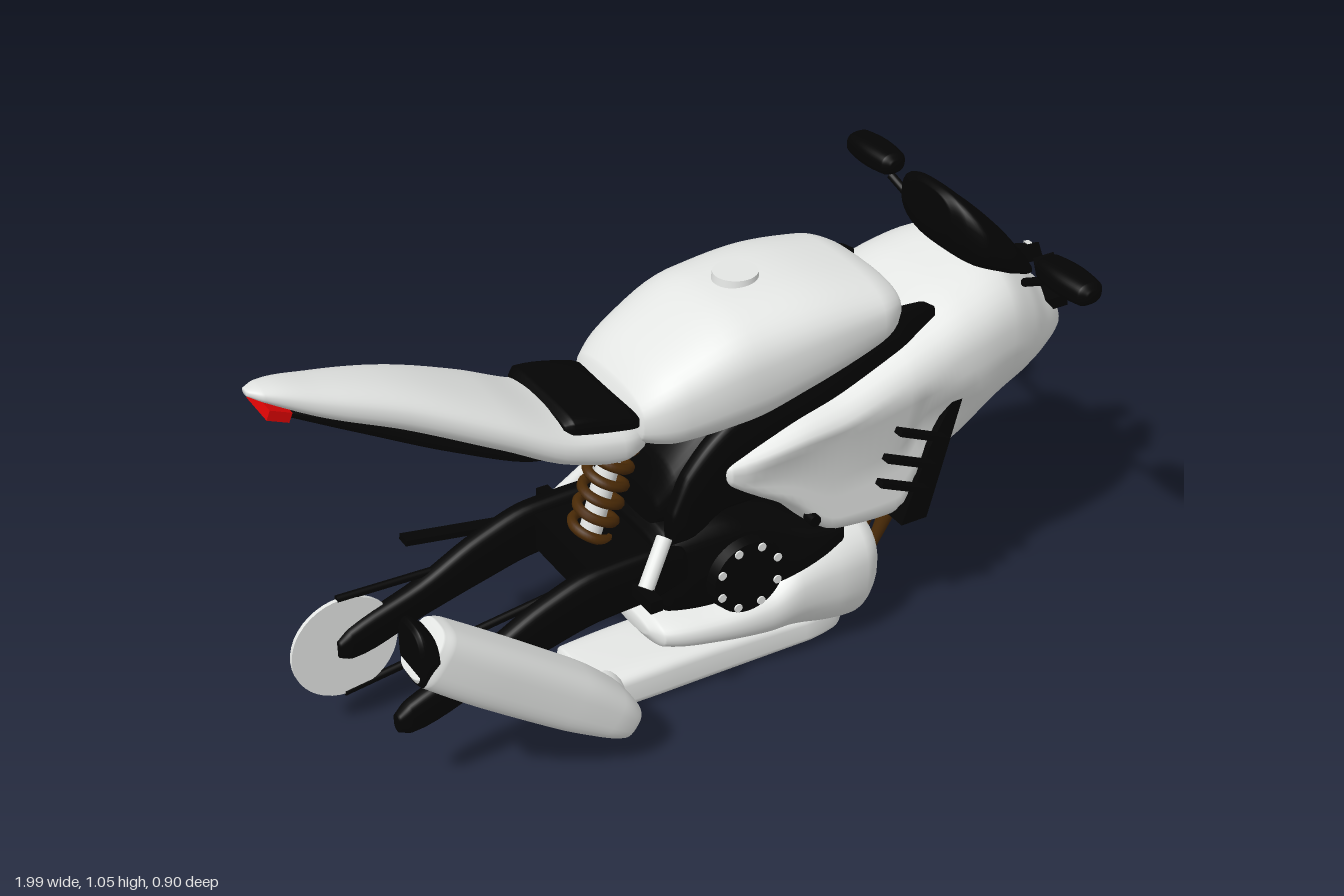
import * as THREE from 'three';

const mat = (name, color) => {
  const m = new THREE.MeshStandardMaterial({ color });
  m.name = name;
  return m;
};

// Smooth limited-slope interpolation of the stations along x
function sampleStations(st, per = 6) {
  const n = st.length, w = st[0].length;
  const sec = (i, c) => (st[i + 1][c] - st[i][c]) / (st[i + 1][0] - st[i][0]);
  const slope = (i, c) => {
    if (i === 0) return sec(0, c);
    if (i === n - 1) return sec(n - 2, c);
    const a = sec(i - 1, c), b = sec(i, c);
    return a * b <= 0 ? 0 : (2 * a * b) / (a + b);
  };
  const rows = [];
  for (let i = 0; i < n - 1; i++) {
    const h = st[i + 1][0] - st[i][0];
    for (let s = 0; s < per; s++) {
      const t = s / per, t2 = t * t, t3 = t2 * t, row = [st[i][0] + t * h];
      for (let c = 1; c < w; c++) {
        row.push((2 * t3 - 3 * t2 + 1) * st[i][c] + (t3 - 2 * t2 + t) * h * slope(i, c)
          + (3 * t2 - 2 * t3) * st[i + 1][c] + (t3 - t2) * h * slope(i + 1, c));
      }
      rows.push(row);
    }
  }
  rows.push(st[n - 1]);
  return rows;
}

// Skin superellipse sections:
// [x, low y, high y, half width, lower exponent, height share of widest point, upper exponent]
function loftGeometry(stations, e = 2.3, k = 0.5, N = 40) {
  const rows = sampleStations(stations.map(s => [s[0], s[1], s[2], s[3], s[4] ?? e, s[5] ?? k, s[6] ?? s[4] ?? e]));
  const pos = [], idx = [];
  const pw = (v, p) => Math.sign(v) * Math.pow(Math.abs(v), p);
  for (const [x, lo, hi, w, el, kk, eu] of rows) {
    const yc = lo + kk * (hi - lo);
    for (let j = 0; j < N; j++) {
      const t = (j / N) * Math.PI * 2, ex = Math.sin(t) > 0 ? eu : el, s = pw(Math.sin(t), 2 / ex);
      pos.push(x, yc + s * (s > 0 ? hi - yc : yc - lo), w * pw(Math.cos(t), 2 / ex));
    }
  }
  const R = rows.length;
  for (let i = 0; i < R - 1; i++) for (let j = 0; j < N; j++) {
    const a = i * N + j, b = i * N + (j + 1) % N;
    idx.push(a, a + N, b, b, a + N, b + N);
  }
  for (const i of [0, R - 1]) {
    const c = pos.length / 3, r = rows[i];
    pos.push(r[0], (r[1] + r[2]) / 2, 0);
    for (let j = 0; j < N; j++) {
      const a = i * N + j, b = i * N + (j + 1) % N;
      if (i === 0) idx.push(c, a, b); else idx.push(c, b, a);
    }
  }
  const g = new THREE.BufferGeometry();
  g.setAttribute('position', new THREE.Float32BufferAttribute(pos, 3));
  g.setIndex(idx);
  g.computeVertexNormals();
  return g;
}

export function createModel() {
  const root = new THREE.Group();
  root.name = 'motorcycleBody';
  const white = mat('white paint', 0xe4e6e4), black = mat('black trim', 0x040404);
  const bronze = mat('bronze metal', 0x4a2a06), red = mat('tail light red', 0xd80404);

  const add = (name, geo, m, p = [0, 0, 0], r = [0, 0, 0]) => {
    const mesh = new THREE.Mesh(geo, m);
    mesh.name = name;
    mesh.position.set(...p);
    mesh.rotation.set(...r);
    root.add(mesh);
    return mesh;
  };
  const loft = (name, m, st, e, k) => add(name, loftGeometry(st, e, k), m);
  const box = (name, m, size, p, r) => add(name, new THREE.BoxGeometry(...size), m, p, r);
  const disc = (name, m, r0, r1, h, p) => add(name, new THREE.CylinderGeometry(r0, r1, h, 40), m, p, [Math.PI / 2, 0, 0]);
  const rod = (name, m, a, b, ra, rb = ra) => {
    const A = new THREE.Vector3(...a), B = new THREE.Vector3(...b), d = B.clone().sub(A);
    const mesh = add(name, new THREE.CylinderGeometry(rb, ra, d.length(), 18), m);
    mesh.position.copy(A).add(B).multiplyScalar(0.5);
    mesh.quaternion.setFromUnitVectors(new THREE.Vector3(0, 1, 0), d.normalize());
  };
  const shape = pts => new THREE.Shape(pts.map(p => new THREE.Vector2(...p)));

  // Bodywork
  loft('fuelTank', white, [
    [-0.21, 0.71, 0.78, 0.1], [-0.19, 0.69, 0.82, 0.15], [-0.1, 0.665, 0.89, 0.19], [0.05, 0.67, 0.955, 0.213],
    [0.2, 0.71, 0.966, 0.216], [0.38, 0.77, 0.945, 0.2], [0.44, 0.8, 0.92, 0.17], [0.47, 0.84, 0.88, 0.09]], 2.7);
  add('fillerCap', new THREE.CylinderGeometry(0.05, 0.053, 0.025, 32), white, [0.12, 0.962, 0]);
  const fairing = loft('frontFairing', white, [
    [-0.03, 0.58, 0.62, 0.17, 3, 0.6], [0, 0.54, 0.64, 0.2, 3, 0.6], [0.15, 0.44, 0.695, 0.23, 3.4, 0.65],
    [0.28, 0.33, 0.74, 0.24, 4, 0.7, 3], [0.43, 0.315, 0.8, 0.243, 4, 0.72, 3], [0.5, 0.335, 0.83, 0.243, 2.2, 0.7, 2.9],
    [0.6, 0.38, 0.87, 0.24, 1.8, 0.66, 2.8], [0.72, 0.465, 0.895, 0.222, 1.8, 0.6, 2.6],
    [0.8, 0.52, 0.86, 0.195, 1.9, 0.54, 2.3], [0.88, 0.565, 0.79, 0.145, 2, 0.48], [0.95, 0.598, 0.72, 0.09, 2.1, 0.45],
    [0.98, 0.61, 0.67, 0.055, 2.2, 0.45], [0.992, 0.625, 0.65, 0.03, 2.2, 0.45]]);
  // Pull the lower flanks of the fairing in to flat sides
  const fp = fairing.geometry.attributes.position;
  for (let i = 0; i < fp.count; i++) {
    const limit = 0.2 + 0.045 * THREE.MathUtils.smoothstep(fp.getY(i), 0.56, 0.69);
    fp.setZ(i, THREE.MathUtils.clamp(fp.getZ(i), -limit, limit));
  }
  fairing.geometry.computeVertexNormals();
  loft('frameCore', black, [
    [-0.14, 0.45, 0.53, 0.1], [-0.1, 0.45, 0.62, 0.13], [0, 0.5, 0.71, 0.145], [0.2, 0.5, 0.77, 0.145],
    [0.38, 0.6, 0.77, 0.14]], 3);
  loft('tail', white, [
    [-1, 1.01, 1.025, 0.012], [-0.97, 0.992, 1.027, 0.035], [-0.85, 0.925, 1.005, 0.07], [-0.7, 0.86, 0.965, 0.1],
    [-0.5, 0.76, 0.88, 0.14], [-0.36, 0.69, 0.808, 0.158, 2.4], [-0.24, 0.663, 0.772, 0.155, 2.8],
    [-0.18, 0.67, 0.75, 0.13, 2.6], [-0.155, 0.69, 0.725, 0.08]], 2.3);
  loft('tailUnderside', black, [
    [-0.95, 0.962, 0.98, 0.03], [-0.8, 0.885, 0.93, 0.065], [-0.6, 0.785, 0.835, 0.095],
    [-0.45, 0.717, 0.76, 0.1], [-0.3, 0.675, 0.7, 0.06]], 3);
  loft('seat', black, [
    [-0.37, 0.782, 0.808, 0.125], [-0.35, 0.77, 0.823, 0.14], [-0.22, 0.745, 0.795, 0.143], [-0.18, 0.74, 0.775, 0.13]], 4);
  box('tailLight', red, [0.05, 0.022, 0.1], [-0.952, 0.972, 0], [0, 0, -0.4]);

  // Windscreen
  loft('windscreen', black, [
    [0.622, 0.95, 1.045, 0.08], [0.64, 0.915, 1.053, 0.125], [0.68, 0.87, 1.025, 0.162], [0.74, 0.845, 0.97, 0.17],
    [0.8, 0.825, 0.9, 0.15], [0.84, 0.81, 0.85, 0.115]], 2.6, 0.45);

  for (const s of [1, -1]) {
    // Exposed edge of the frame between tank and fairing
    const rail = loft('frameRail', black, [
      [-0.14, 0.45, 0.53, 0.02], [-0.1, 0.45, 0.62, 0.026], [0, 0.5, 0.715, 0.03], [0.2, 0.5, 0.795, 0.03],
      [0.43, 0.6, 0.866, 0.026], [0.5, 0.7, 0.864, 0.014], [0.535, 0.75, 0.845, 0.008]], 3.2);
    rail.position.z = s * 0.158;

    // Mirrors
    rod('mirrorStem', black, [0.76, 0.855, s * 0.19], [0.735, 0.918, s * 0.3], 0.01);
    const m = loft('mirror', black, [
      [-0.087, -0.012, 0.012, 0.016], [-0.07, -0.027, 0.027, 0.034], [0, -0.031, 0.031, 0.042],
      [0.07, -0.027, 0.027, 0.034], [0.087, -0.012, 0.012, 0.016]], 2.6);
    m.position.set(0.735, 0.95, s * 0.365);
    m.rotation.y = Math.PI / 2;

    // Headlights and nostrils
    const lamp = new THREE.ExtrudeGeometry(
      shape([[0.028, 0.8], [0.025, 0.755], [0.105, 0.7], [0.114, 0.735], [0.086, 0.777]].map(([z, y]) => [-s * z, y])),
      { depth: 0.06, bevelEnabled: false });
    lamp.rotateY(Math.PI / 2);
    const lp = lamp.attributes.position;
    for (let i = 0; i < lp.count; i++) {
      lp.setX(i, lp.getX(i) + 0.955 - (lp.getY(i) - 0.7) * 0.3 - Math.abs(lp.getZ(i)) * 0.5);
    }
    lamp.computeVertexNormals();
    add('headlight', lamp, black);
    box('headlightTrim', white, [0.012, 0.008, 0.045], [0.962, 0.787, s * 0.056], [s * 0.4, s * 0.45, 0]);
    const nostril = add('nostril', new THREE.SphereGeometry(0.014, 14, 10), white, [0.953, 0.697, s * 0.04]);
    nostril.scale.set(1.2, 0.8, 0.9);

    // Fairing vents
    const vent = new THREE.ExtrudeGeometry(
      shape([[0.447, 0.32], [0.516, 0.32], [0.553, 0.49], [0.585, 0.64], [0.553, 0.625], [0.505, 0.52], [0.475, 0.42]]),
      { depth: 0.075, bevelEnabled: false });
    const vp = vent.attributes.position;
    for (let i = 0; i < vp.count; i++) {
      vp.setZ(i, vp.getZ(i) - 0.0375 + s * (0.167 + (vp.getY(i) - 0.32) * 0.06));
    }
    vent.computeVertexNormals();
    add('ventPanel', vent, black);
    for (const [x, y] of [[0.46, 0.58], [0.43, 0.52], [0.415, 0.46]]) {
      box('ventSlash', black, [0.14, 0.014, 0.024], [x, y, s * 0.242], [0, 0, -0.42]);
    }
    disc('fairingBolt', black, 0.014, 0.014, 0.03, [0.205, 0.42, s * 0.198]);

    // Footpegs and swingarm
    rod('footpegBracket', white, [-0.225, 0.39, s * 0.205], [-0.155, 0.475, s * 0.165], 0.018);
    box('footpeg', black, [0.03, 0.03, 0.08], [-0.23, 0.378, s * 0.22]);
    const arm = loft('swingarm', black, [
      [-0.8, 0.2, 0.24, 0.014], [-0.77, 0.19, 0.265, 0.022], [-0.6, 0.24, 0.33, 0.026], [-0.45, 0.28, 0.405, 0.028],
      [-0.32, 0.31, 0.445, 0.03], [-0.18, 0.32, 0.45, 0.03], [-0.1, 0.34, 0.42, 0.02]], 3);
    arm.position.z = s * 0.15;
  }
  box('noseIntake', black, [0.06, 0.036, 0.076], [0.948, 0.6, 0], [0, 0, 0.3]);
  box('swingarmBridge', black, [0.16, 0.09, 0.3], [-0.24, 0.38, 0]);

  // Shock absorber
  const lower = new THREE.Vector3(-0.25, 0.42, 0), axis = new THREE.Vector3(0.08, 0.25, 0);
  const ax = axis.clone().normalize(), side = new THREE.Vector3(ax.y, -ax.x, 0);
  const coil = [];
  for (let i = 0; i <= 112; i++) {
    const t = i / 112, a = t * 6 * Math.PI * 2;
    const p = lower.clone().addScaledVector(axis, t).addScaledVector(side, 0.045 * Math.cos(a));
    p.z = 0.045 * Math.sin(a);
    coil.push(p);
  }
  add('shockSpring', new THREE.TubeGeometry(new THREE.CatmullRomCurve3(coil), 240, 0.012, 8), bronze);
  rod('shockBody', white, [-0.255, 0.4, 0], [-0.165, 0.7, 0], 0.026);

  // Chain drive
  disc('rearSprocket', white, 0.126, 0.126, 0.01, [-0.782, 0.22, -0.155]);
  rod('chainUpper', black, [-0.79, 0.346, -0.158], [-0.05, 0.325, -0.158], 0.009);
  rod('chainLower', black, [-0.79, 0.094, -0.158], [0, 0.2, -0.158], 0.01);
  box('chainGuard', black, [0.36, 0.014, 0.035], [-0.435, 0.395, -0.185], [0, 0, -0.16]);

  // Engine
  loft('engineBlock', black, [
    [-0.145, 0.25, 0.42, 0.12], [-0.12, 0.225, 0.45, 0.15], [0, 0.21, 0.46, 0.165], [0.15, 0.22, 0.42, 0.175],
    [0.25, 0.27, 0.38, 0.19], [0.3, 0.3, 0.37, 0.185], [0.33, 0.31, 0.36, 0.14], [0.42, 0.31, 0.36, 0.13]], 4);
  disc('clutchCover', black, 0.09, 0.1, 0.05, [0.05, 0.31, 0.163]);
  for (let i = 0; i < 8; i++) {
    const a = (i + 0.5) * Math.PI / 4;
    disc('clutchBolt', white, 0.01, 0.01, 0.012, [0.05 + 0.078 * Math.cos(a), 0.31 + 0.078 * Math.sin(a), 0.186]);
  }
  disc('alternatorCover', black, 0.1, 0.09, 0.05, [0.1, 0.33, -0.163]);
  disc('sprocketCover', white, 0.055, 0.055, 0.06, [-0.05, 0.3, -0.165]);

  // Belly pan and exhaust
  loft('bellyPan', white, [
    [-0.155, 0.15, 0.185, 0.08], [-0.13, 0.12, 0.205, 0.135], [0, 0.09, 0.215, 0.165], [0.12, 0.07, 0.24, 0.182],
    [0.2, 0.055, 0.3, 0.188], [0.3, 0.025, 0.322, 0.188], [0.38, 0.012, 0.32, 0.178], [0.42, 0.05, 0.3, 0.155],
    [0.435, 0.1, 0.27, 0.1]].map(r => [...r, 2.2, 0.58, 2.6]));
  const chamber = loft('exhaustChamber', white, [
    [-0.315, 0.02, 0.06, 0.07], [-0.295, 0.002, 0.095, 0.1], [-0.1, 0, 0.1, 0.105], [0.25, 0, 0.085, 0.105],
    [0.34, 0.002, 0.075, 0.09], [0.39, 0.02, 0.065, 0.05]], 4.5);
  chamber.position.z = 0.02;
  rod('exhaustLink', white, [-0.26, 0.06, 0.08], [-0.315, 0.11, 0.225], 0.037);
  const muffler = loft('muffler', white, [
    [-0.3, -0.055, 0.068, 0.055], [-0.27, -0.068, 0.074, 0.064], [-0.1, -0.073, 0.075, 0.069], [0.1, -0.07, 0.073, 0.069],
    [0.22, -0.06, 0.06, 0.066], [0.285, -0.048, 0.038, 0.056], [0.305, -0.028, 0.018, 0.035]], 3);
  muffler.position.set(-0.535, 0.285, 0.246);
  muffler.rotation.z = -0.64;
  const tip = loft('mufflerTip', black, [
    [-0.8, 0.4, 0.53, 0.05], [-0.79, 0.39, 0.54, 0.057], [-0.76, 0.395, 0.515, 0.06]], 3);
  tip.position.z = 0.246;
  for (let i = 0; i < 4; i++) {
    const zt = (i - 1.5) * 0.065, zb = (i - 1.5) * 0.039;
    const at = t => [0.425 + 0.085 * t, 0.08 + 0.265 * t, zb + (zt - zb) * t];
    rod('headerCollar', bronze, at(0.84), at(1.02), 0.022, 0.023);
    rod('headerUpper', bronze, at(0.4), at(0.85), 0.012, 0.021);
    rod('headerLower', bronze, at(0), at(0.42), 0.018, 0.012);
  }
  return root;
}
